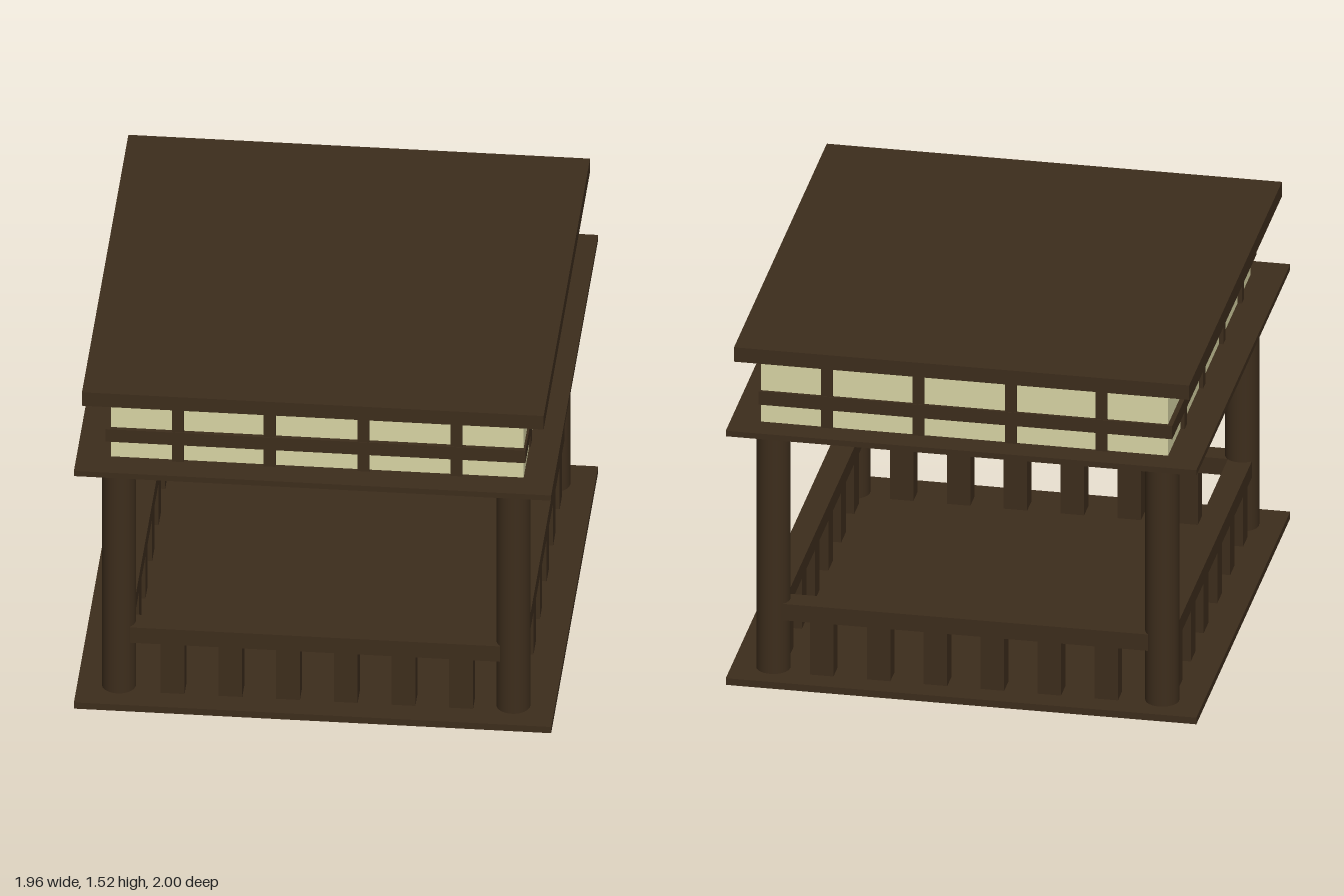
import * as THREE from 'three';

export function createModel() {
  const model = new THREE.Group();
  model.name = 'pavilion';
  const wood = new THREE.MeshStandardMaterial({ color: 0x3d2d1c });
  const paper = new THREE.MeshStandardMaterial({ color: 0xd8d4a4 });

  // Box given by its minimum and maximum on each axis
  function box(name, [x0, x1], [y0, y1], [z0, z1], material = wood) {
    const mesh = new THREE.Mesh(new THREE.BoxGeometry(x1 - x0, y1 - y0, z1 - z0), material);
    mesh.position.set((x0 + x1) / 2, (y0 + y1) / 2, (z0 + z1) / 2);
    mesh.name = name;
    model.add(mesh);
  }
  const around = (c, half) => [c - half, c + half];

  // Floor, ceiling and roof slabs
  box('floor', [-0.98, 0.98], [0, 0.03], [-1, 1]);
  box('ceiling', [-0.98, 0.98], [1.125, 1.15], [-1, 1]);
  box('roof', [-0.948, 0.948], [1.46, 1.525], [-0.988, 0.988]);

  // Round corner columns
  const columnGeometry = new THREE.CylinderGeometry(0.07, 0.07, 1.1, 32);
  for (const x of [-0.81, 0.81]) {
    for (const z of [-0.855, 0.845]) {
      const column = new THREE.Mesh(columnGeometry, wood);
      column.position.set(x, 0.578, z);
      column.name = 'column';
      model.add(column);
    }
  }

  // Railings with square balusters on all four sides
  const railY = [0.268, 0.342];
  const balusterY = [0.03, 0.268];
  for (const z of [-0.855, 0.848]) {
    box('railing', [-0.76, 0.76], railY, around(z, 0.05));
    for (let i = 0; i < 6; i++) {
      box('baluster', around(-0.585 + i * 0.237, 0.049), balusterY, around(z, 0.045));
    }
  }
  for (const x of [-0.81, 0.81]) {
    box('sideRailing', around(x, 0.05), railY, [-0.81, 0.80]);
    for (const z of [0.685, 0.408, 0.134, -0.155, -0.43, -0.708]) {
      box('sideBaluster', around(x, 0.045), balusterY, around(z, 0.049));
    }
  }

  // Paper screen band under the roof
  box('paperScreen', [-0.84, 0.855], [1.15, 1.46], [-0.886, 0.874], paper);

  // Lattice: horizontal strips round the band
  const stripY = [1.232, 1.292];
  for (const z of [-0.88, 0.874]) box('latticeStrip', [-0.845, 0.864], stripY, around(z, 0.019));
  for (const x of [-0.842, 0.846]) box('sideLatticeStrip', around(x, 0.018), stripY, [-0.899, 0.893]);

  // Lattice: upright bars
  const barY = [1.15, 1.46];
  for (const x of [-0.564, -0.187, 0.198, 0.58]) {
    for (const z of [-0.88, 0.874]) box('latticeBar', around(x, 0.024), barY, around(z, 0.016));
  }
  for (const z of [0.615, 0.221, -0.207, -0.603]) {
    for (const x of [-0.842, 0.845]) box('sideLatticeBar', around(x, 0.016), barY, around(z, 0.023));
  }
  return model;
}
